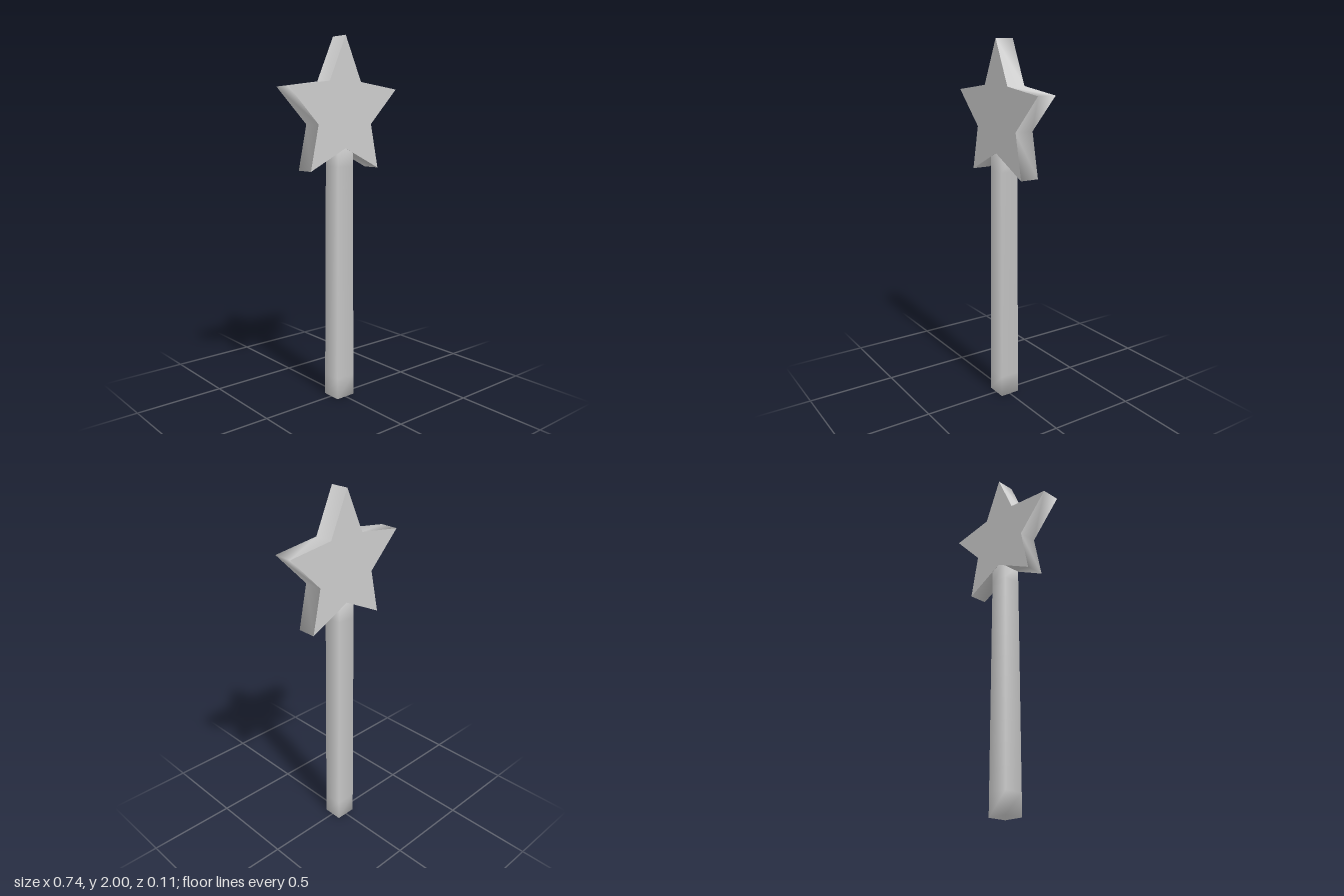
import * as THREE from 'three';
import { mergeVertices, mergeGeometries } from 'three/addons/utils/BufferGeometryUtils.js';

const material = new THREE.MeshStandardMaterial({ color: 0xcccccc });

// Square rod, slightly thicker at the foot, shaded softly around its corners
function makeHandle() {
  const height = 1.43;
  const box = new THREE.BoxGeometry(1, height, 1, 1, 12, 1).translate(0, height / 2, 0);
  box.deleteAttribute('normal');
  box.deleteAttribute('uv');
  const geometry = mergeVertices(box);
  const p = geometry.attributes.position;
  for (let i = 0; i < p.count; i++) {
    const t = p.getY(i) / height;
    p.setX(i, p.getX(i) * THREE.MathUtils.lerp(0.12, 0.104, t));
    p.setZ(i, p.getZ(i) * THREE.MathUtils.lerp(0.112, 0.103, t));
  }
  geometry.computeVertexNormals();
  const mesh = new THREE.Mesh(geometry, material);
  mesh.name = 'handle';
  return mesh;
}

// Five-pointed plate: two flat faces and a softly shaded rim
function makeStar() {
  const depth = 0.053;
  const rightHalf = [[0.235, 1.295], [0.183, 1.537], [0.37, 1.728], [0.108, 1.762]];
  const leftHalf = rightHalf.map(([x, y]) => [-x, y]).reverse();
  const outline = [[0, 1.41], ...rightHalf, [0, 2], ...leftHalf];
  const n = outline.length;

  // rim
  const positions = [], index = [];
  outline.forEach(([x, y], i) => {
    positions.push(x, y, depth, x, y, -depth);
    const a = 2 * i, b = 2 * ((i + 1) % n);
    index.push(a, a + 1, b, b, a + 1, b + 1);
  });
  const rim = new THREE.BufferGeometry();
  rim.setAttribute('position', new THREE.Float32BufferAttribute(positions, 3));
  rim.setIndex(index);
  rim.computeVertexNormals();

  // front and back faces
  const shape = new THREE.Shape(outline.map(([x, y]) => new THREE.Vector2(x, y)));
  const front = new THREE.ShapeGeometry(shape).translate(0, 0, depth);
  const back = new THREE.ShapeGeometry(shape).rotateY(Math.PI).translate(0, 0, -depth);
  [front, back].forEach((g) => g.deleteAttribute('uv'));

  const mesh = new THREE.Mesh(mergeGeometries([rim, front, back]), material);
  mesh.name = 'star';
  return mesh;
}

export function createModel() {
  const group = new THREE.Group();
  group.name = 'starWand';
  group.add(makeHandle(), makeStar());
  return group;
}
